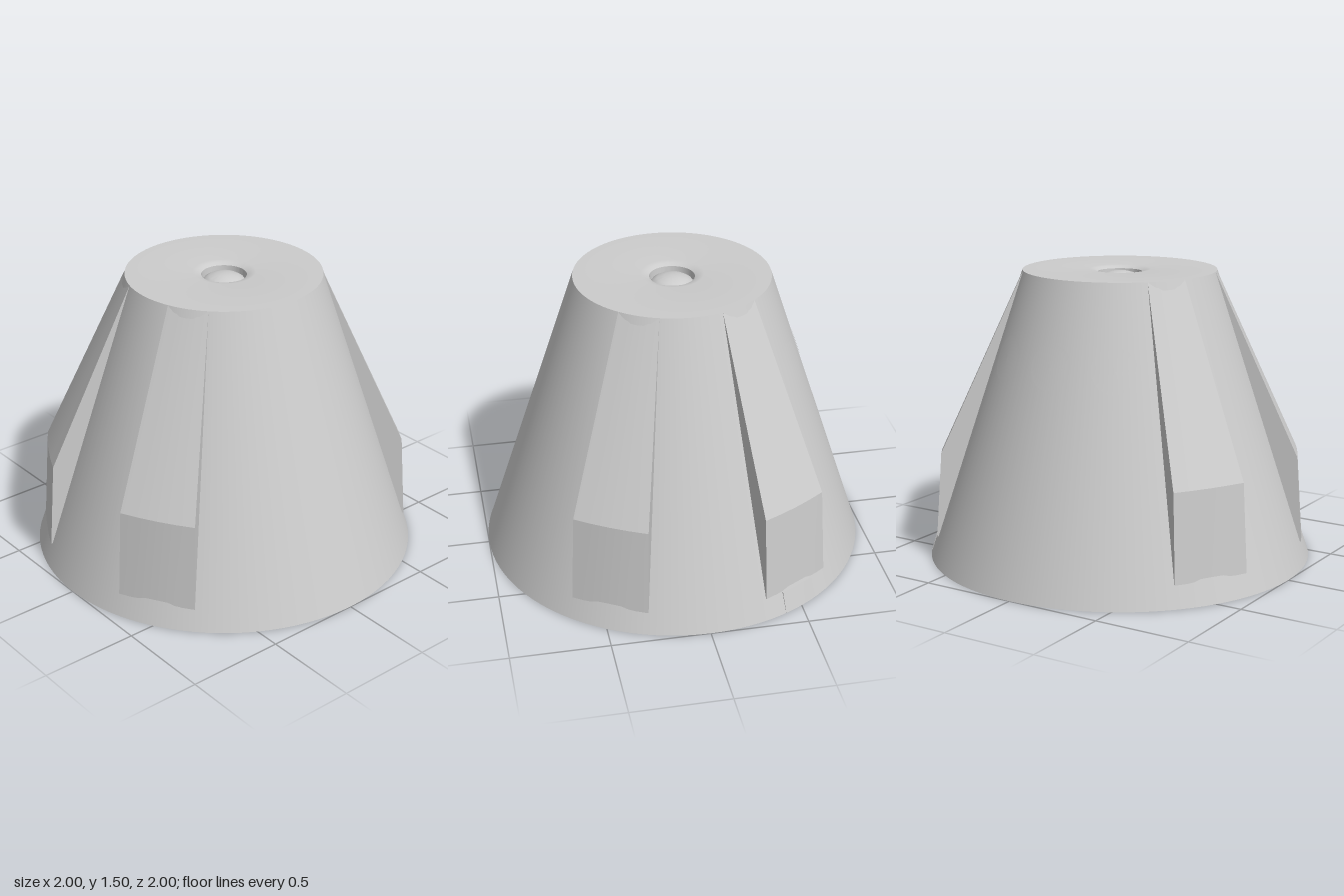
import * as THREE from 'three';
import { toCreasedNormals } from 'three/addons/utils/BufferGeometryUtils.js';

const HEIGHT = 1.5;
const hullRadius = (y) => 1 - y / 3;
const grey = () => new THREE.MeshStandardMaterial({ color: 0xcccccc });
const rad = THREE.MathUtils.degToRad;

function add(parent, name, geometry, material = grey()) {
  const mesh = new THREE.Mesh(geometry, material);
  mesh.name = name;
  parent.add(mesh);
  return mesh;
}

const lathe = (points, segments) => toCreasedNormals(
  new THREE.LatheGeometry(points.map(([r, y]) => new THREE.Vector2(r, y)), segments), rad(25));

// Wedge standing proud of the hull, from [radius, y] levels listed bottom to top.
// bulge 0 gives a flat outer face, 1 follows the full arc.
function wedge(levels, angle, halfAngle, bulge) {
  const steps = 4, positions = [];
  const at = (r, y, a) => [r * Math.sin(a), y, r * Math.cos(a)];
  const rings = levels.map(([r, y]) => {
    const inner = hullRadius(y) - 0.03;
    const ring = [at(inner, y, angle - halfAngle)];
    for (let i = 0; i <= steps; i++) {
      const a = (i / steps * 2 - 1) * halfAngle;
      const chord = r * Math.cos(halfAngle) / Math.cos(a);
      ring.push(at(chord + (r - chord) * bulge, y, angle + a));
    }
    ring.push(at(inner, y, angle + halfAngle));
    return ring;
  });
  const tri = (a, b, c) => positions.push(...a, ...b, ...c);
  for (let j = 0; j < rings.length - 1; j++) {
    const lo = rings[j], hi = rings[j + 1];
    for (let i = 0; i < lo.length - 1; i++) {
      tri(lo[i], lo[i + 1], hi[i + 1]);
      tri(lo[i], hi[i + 1], hi[i]);
    }
  }
  // Close the underside
  const base = rings[0];
  for (let i = 1; i < base.length - 1; i++) tri(base[0], base[i + 1], base[i]);
  const geometry = new THREE.BufferGeometry();
  geometry.setAttribute('position', new THREE.Float32BufferAttribute(positions, 3));
  return toCreasedNormals(geometry, rad(12));
}

// Round pane wrapped onto the conical hull
function pane(angle, y, radius) {
  const geometry = new THREE.RingGeometry(0, radius, 40, 5);
  const p = geometry.attributes.position;
  const slope = Math.cos(Math.atan(1 / 3));
  for (let i = 0; i < p.count; i++) {
    const py = y + p.getY(i) * slope;
    const r = hullRadius(py) + 0.003;
    const a = angle + p.getX(i) / r;
    p.setXYZ(i, r * Math.sin(a), py, r * Math.cos(a));
  }
  geometry.computeVertexNormals();
  return geometry;
}

export function createModel() {
  const model = new THREE.Group();
  model.name = 'capsule';

  // Conical body with a flat base and a dished opening in the top
  add(model, 'hull', lathe([
    [0, 0], [1, 0], [0.5, HEIGHT], [0.16, HEIGHT], [0.135, 1.496], [0.115, 1.485], [0.112, 1.44], [0, 1.44],
  ], 96));

  // Shallow dome sunk in the top opening
  add(model, 'topDome', lathe([
    [0.112, 1.445], [0.1, 1.462], [0.075, 1.477], [0.04, 1.487], [0, 1.49],
  ], 48));

  // Four raised fairings, two at the front and two at the back
  const fairings = new THREE.Group();
  fairings.name = 'fairings';
  model.add(fairings);
  for (const degrees of [30, -30, 150, 210]) {
    add(fairings, 'fairing', wedge([[0.97, 0.11], [0.938, 0.56], [0.5, HEIGHT]], rad(degrees), rad(12), 0.5));
  }

  // Small tab below the back fairing on the window side
  add(model, 'fairingTab', wedge([[1, 0.004], [0.968, 0.11]], rad(210), rad(6), 1));

  // Three round windows on the right side
  const windows = new THREE.Group();
  windows.name = 'windows';
  model.add(windows);
  for (const degrees of [-120, -90, -60]) add(windows, 'window', pane(rad(degrees), 1.09, 0.115));

  return model;
}
